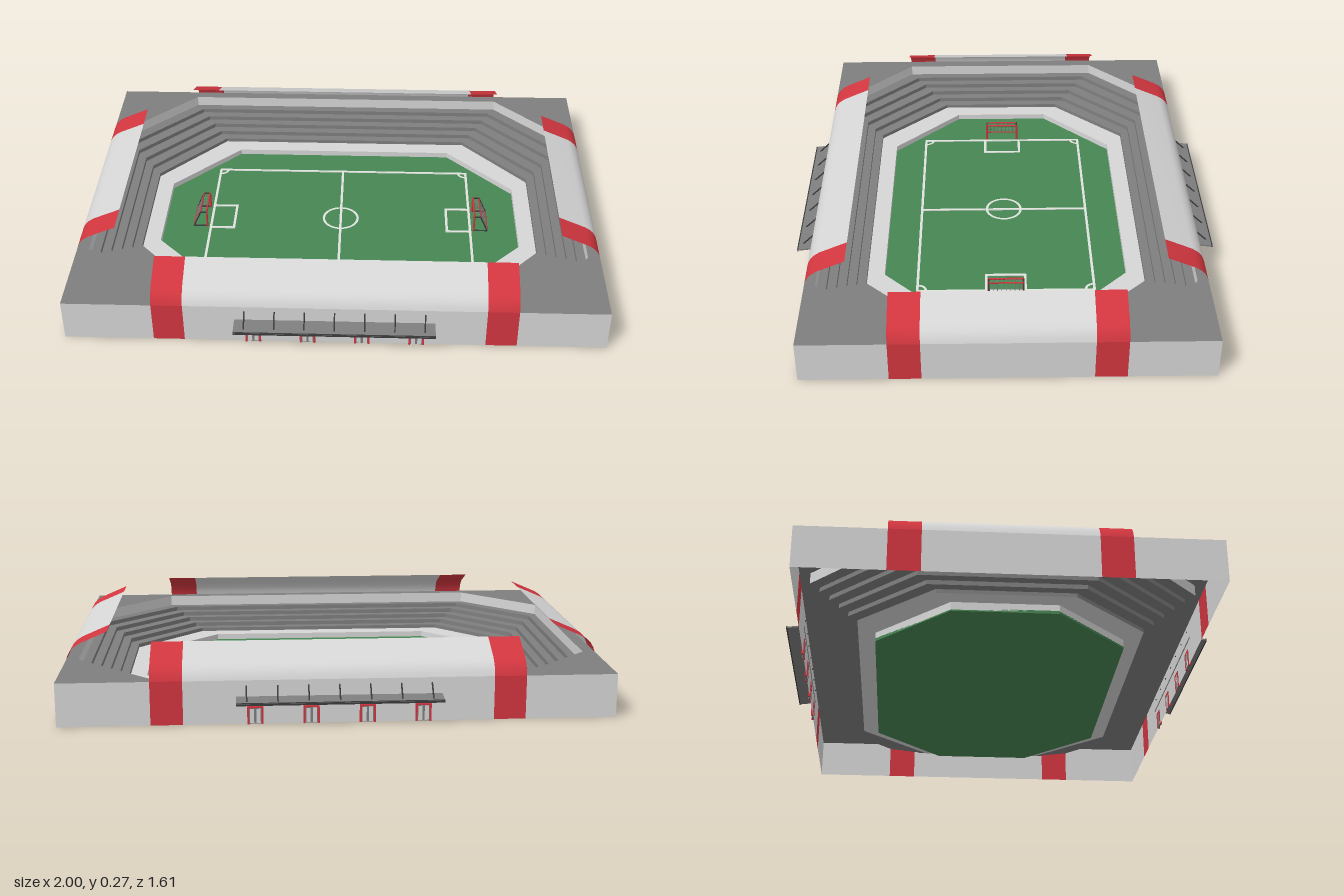
import * as THREE from 'three';

const mat = (name, color, side = THREE.DoubleSide) => {
  const m = new THREE.MeshStandardMaterial({ color, side });
  m.name = name;
  return m;
};

export function createModel() {
  const root = new THREE.Group();
  root.name = 'stadium';
  const light = mat('light grey', 0xd6d6d6), red = mat('red', 0xd2363f), grey = mat('concrete grey', 0x7e7e7e);
  const green = mat('grass green', 0x478653), dark = mat('dark metal', 0x3c3c3c), line = mat('line white', 0xdfe3dc);

  const add = (parent, name, geo, material, x = 0, y = 0, z = 0) => {
    const m = new THREE.Mesh(geo, material);
    m.name = name;
    m.position.set(x, y, z);
    parent.add(m);
    return m;
  };
  const box = (parent, name, material, sx, sy, sz, x, y, z) =>
    add(parent, name, new THREE.BoxGeometry(sx, sy, sz), material, x, y, z);
  const bar = (parent, name, material, a, b, r) => {
    const va = new THREE.Vector3(...a), vb = new THREE.Vector3(...b);
    const m = add(parent, name, new THREE.CylinderGeometry(r, r, va.distanceTo(vb), 6), material);
    m.position.copy(va).lerp(vb, 0.5);
    m.quaternion.setFromUnitVectors(new THREE.Vector3(0, 1, 0), vb.sub(va).normalize());
    return m;
  };

  // Sheet spanning x0..x1 that follows a [z, y] profile
  const ribbon = (profile, x0, x1) => {
    const pos = [], idx = [];
    profile.forEach(([z, y], i) => {
      pos.push(x0, y, z, x1, y, z);
      if (i) {
        const k = 2 * i;
        idx.push(k - 2, k - 1, k + 1, k - 2, k + 1, k);
      }
    });
    const g = new THREE.BufferGeometry();
    g.setAttribute('position', new THREE.Float32BufferAttribute(pos, 3));
    g.setIndex(idx);
    g.computeVertexNormals();
    return g;
  };

  // Octagon corners for the size hx, hz with cut points cx, cz
  const octagon = ([hx, hz, cx, cz]) => [
    [cx, hz], [hx, cz], [hx, -cz], [cx, -hz], [-cx, -hz], [-hx, -cz], [-hx, cz], [-cx, hz]];
  const pitchOct = [0.72, 0.465, 0.455, 0.195];
  const apronOct = [0.785, 0.53, 0.525, 0.25];
  const rimOct = [0.955, 0.70, 0.67, 0.415];
  const mix = (a, b, t) => a.map((v, i) => v + (b[i] - v) * t);

  // Flat-faced band around the octagon through sections [size, y]
  const band = (sections) => {
    const pos = [];
    for (let s = 1; s < sections.length; s++) {
      const [lo, hi] = [sections[s - 1], sections[s]];
      const A = octagon(lo[0]), B = octagon(hi[0]);
      for (let i = 0; i < 8; i++) {
        const j = (i + 1) % 8;
        const a = [A[i][0], lo[1], A[i][1]], b = [A[j][0], lo[1], A[j][1]];
        const c = [B[j][0], hi[1], B[j][1]], d = [B[i][0], hi[1], B[i][1]];
        pos.push(...a, ...c, ...b, ...a, ...d, ...c);
      }
    }
    const g = new THREE.BufferGeometry();
    g.setAttribute('position', new THREE.Float32BufferAttribute(pos, 3));
    g.computeVertexNormals();
    // Faces must look up or toward the pitch
    return g;
  };

  // Pitch and surrounding apron
  const toShape = (pts) => new THREE.Shape(pts.map(([x, z]) => new THREE.Vector2(x, -z)));
  const pitchGeo = new THREE.ExtrudeGeometry(toShape(octagon(pitchOct)), { depth: 0.012, bevelEnabled: false });
  add(root, 'pitch', pitchGeo.rotateX(-Math.PI / 2), green);
  add(root, 'apron', band([[pitchOct, 0.005], [pitchOct, 0.035], [apronOct, 0.035]]), light);

  // Stepped terraces
  const steps = [[apronOct, 0.035]];
  const count = 5;
  for (let i = 0; i < count; i++) {
    const y = 0.05 + i * 0.017;
    steps.push([mix(apronOct, rimOct, i / count), y], [mix(apronOct, rimOct, (i + 1) / count), y]);
  }
  add(root, 'terraces', band(steps), grey);
  add(root, 'upperFascia', band([[rimOct, 0.118], [rimOct, 0.16]]), light);

  // Flat deck around the bowl
  const deck = toShape([[-1, 0.74], [1, 0.74], [1, -0.74], [-1, -0.74]]);
  deck.holes.push(new THREE.Path(octagon(rimOct).map(([x, z]) => new THREE.Vector2(x, -z))));
  add(root, 'deck', new THREE.ShapeGeometry(deck).rotateX(-Math.PI / 2), grey, 0, 0.16, 0);

  // Outer walls with curved roofs, one group for each side
  const roofCurve = [[0, 0.16], [0.006, 0.178], [0.016, 0.195], [0.03, 0.209], [0.05, 0.222], [0.154, 0.267]];
  const side = (name, angle, out, half, roofHalf, stripe) => {
    const g = new THREE.Group();
    g.name = name;
    g.rotation.y = angle;
    root.add(g);
    const roof = roofCurve.map(([d, y]) => [out - d, y]);
    const wall = [[out, 0.16], [out, 0]];
    const inner = roofHalf - stripe;
    add(g, 'wallCentre', ribbon(wall, inner, -inner), light);
    add(g, 'roofCentre', ribbon(roof, -inner, inner), light);
    for (const s of [-1, 1]) {
      add(g, 'wallEnd', ribbon(wall, s * roofHalf, s * half), light);
      add(g, 'wallStripe', ribbon(wall, s * inner, s * roofHalf), red);
      add(g, 'roofStripe', ribbon(roof, s * inner, s * roofHalf), red);
    }
    return g;
  };
  const longSides = [side('frontStand', 0, 0.74, 1, 0.67, 0.115), side('backStand', Math.PI, 0.74, 1, 0.67, 0.115)];
  side('leftStand', Math.PI / 2, 1, 0.74, 0.42, 0.115);
  side('rightStand', -Math.PI / 2, 1, 0.74, 0.42, 0.115);

  // Entrance canopies and doors
  for (const g of longSides) {
    const canopy = box(g, 'canopy', grey, 0.735, 0.006, 0.068, 0, 0.094, 0.772);
    canopy.rotation.x = -0.12 + 0.24;
    box(g, 'canopyEdge', dark, 0.735, 0.01, 0.004, 0, 0.09, 0.804);
    for (let i = -3; i <= 3; i++)
      bar(g, 'canopyRod', dark, [i * 0.11, 0.14, 0.738], [i * 0.11, 0.094, 0.786], 0.003);
    for (const x of [-0.3, -0.1, 0.1, 0.3]) {
      box(g, 'door', grey, 0.05, 0.06, 0.006, x, 0.031, 0.741);
      for (const s of [-1, 1]) {
        box(g, 'doorPost', red, 0.007, 0.065, 0.01, x + s * 0.025, 0.0325, 0.742);
        box(g, 'doorPanel', light, 0.015, 0.052, 0.008, x + s * 0.0115, 0.03, 0.742);
      }
      box(g, 'doorLintel', red, 0.057, 0.006, 0.01, x, 0.062, 0.742);
    }
  }

  // Pitch markings
  const Y = 0.0135, W = 0.01;
  const stripeX = (len, x, z) => box(root, 'marking', line, len, 0.004, W, x, Y, z);
  const stripeZ = (len, x, z) => box(root, 'marking', line, W, 0.004, len, x, Y, z);
  const arc = (r, x, z, start, len) => add(root, 'arcMarking',
    new THREE.RingGeometry(r - W / 2, r + W / 2, 40, 1, start, len).rotateX(-Math.PI / 2), line, x, Y + 0.002, z);
  stripeZ(0.68, 0, 0);
  arc(0.07, 0, 0, 0, Math.PI * 2);
  for (const s of [-1, 1]) {
    stripeX(1.07, 0, s * 0.338);
    stripeZ(0.68, s * 0.532, 0);
    stripeZ(0.16, s * 0.437, 0);
    for (const t of [-1, 1]) {
      stripeX(0.095, s * 0.485, t * 0.075);
      const start = s > 0 ? (t > 0 ? Math.PI / 2 : Math.PI) : (t > 0 ? 0 : -Math.PI / 2);
      arc(0.03, s * 0.53, t * 0.336, start, Math.PI / 2);
    }
  }

  // Goals: red frame with a thin dark net
  for (const s of [-1, 1]) {
    const g = new THREE.Group();
    g.name = 'goal';
    root.add(g);
    const xf = s * 0.547, xm = s * 0.572, xb = s * 0.602, top = 0.082, z0 = 0.066;
    for (const z of [-z0, z0]) {
      bar(g, 'post', red, [xf, 0.01, z], [xf, top, z], 0.004);
      bar(g, 'topStay', dark, [xf, top, z], [xm, top, z], 0.003);
      bar(g, 'backStay', dark, [xm, top, z], [xb, 0.014, z], 0.003);
      bar(g, 'baseBar', dark, [xf, 0.014, z], [xb, 0.014, z], 0.003);
    }
    bar(g, 'crossbar', red, [xf, top, -z0], [xf, top, z0], 0.004);
    bar(g, 'backTopBar', red, [xm, top, -z0], [xm, top, z0], 0.003);
    bar(g, 'backBaseBar', red, [xb, 0.014, -z0], [xb, 0.014, z0], 0.003);
    for (let i = -3; i <= 3; i++) {
      const z = i * 0.0165;
      bar(g, 'netCord', grey, [xf, top, z], [xm, top, z], 0.0012);
      bar(g, 'netCord', grey, [xm, top, z], [xb, 0.014, z], 0.0012);
    }
    for (const t of [0.33, 0.66]) {
      const x = xm + (xb - xm) * t, y = top + (0.014 - top) * t;
      bar(g, 'netCord', grey, [x, y, -z0], [x, y, z0], 0.0012);
    }
  }
  return root;
}
